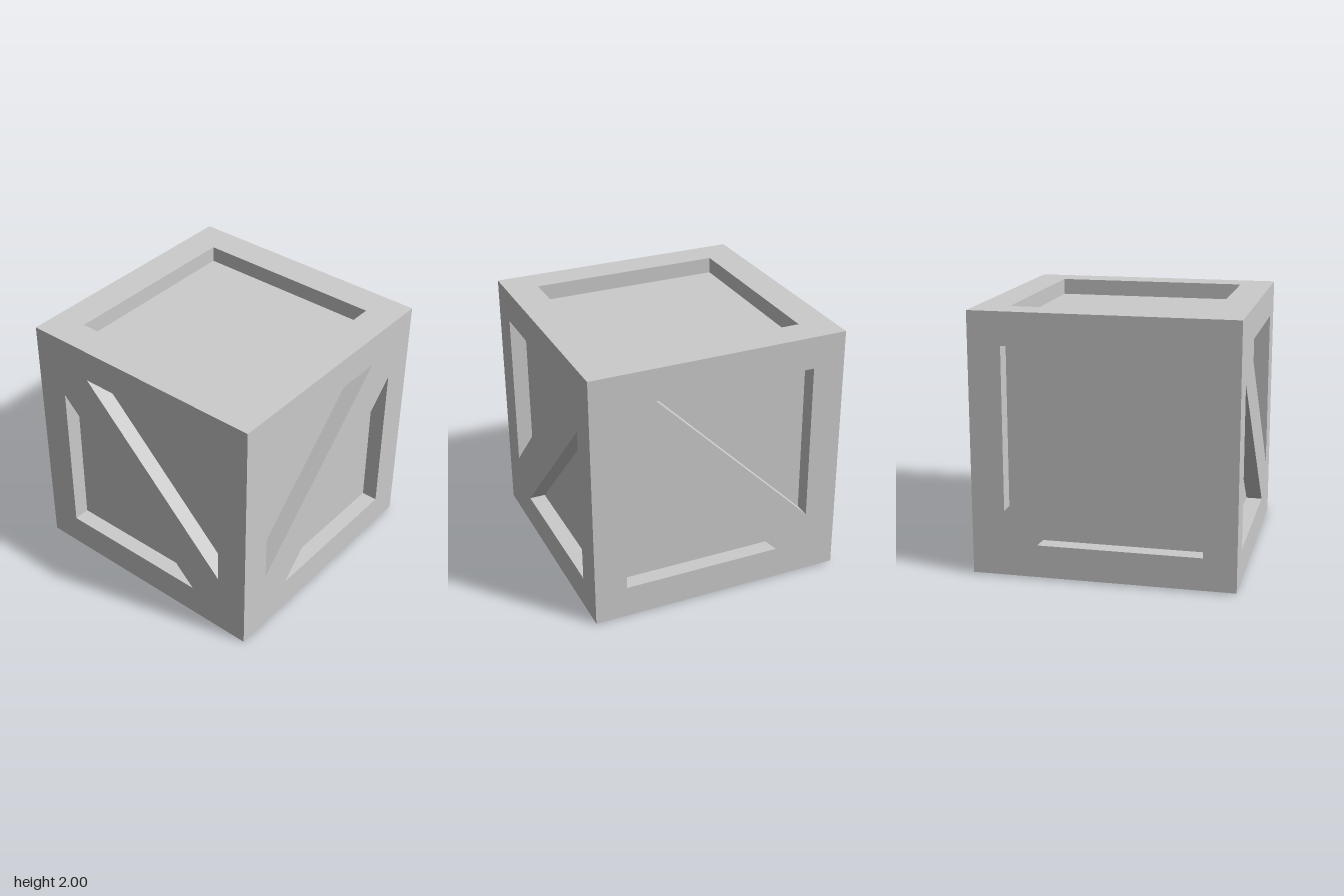
import * as THREE from 'three';

const H = 0.994;      // half the crate's side
const DEPTH = 0.125;  // how far the panels are recessed
const IN = 0.745;     // half the frame opening
const CUT = 0.495;    // where the diagonal brace meets the frame

const path = (Type, pts) => new Type(pts.map(([x, y]) => new THREE.Vector2(x, y)));

// One face frame lying at z = H, mitred at 45 degrees so neighbours meet without overlap
function frameGeometry(holes) {
  const shape = path(THREE.Shape, [[-H, -H], [H, -H], [H, H], [-H, H]]);
  shape.holes = holes.map((pts) => path(THREE.Path, pts));
  const geo = new THREE.ExtrudeGeometry(shape, { depth: DEPTH, bevelEnabled: false });
  geo.translate(0, 0, H - DEPTH);
  const p = geo.attributes.position;
  const mitre = (v) => (Math.abs(v) > H - 1e-4 ? Math.sign(v) * (H - DEPTH) : v);
  for (let i = 0; i < p.count; i++) {
    if (p.getZ(i) < H - DEPTH / 2) p.setXY(i, mitre(p.getX(i)), mitre(p.getY(i)));
  }
  geo.computeVertexNormals();
  return geo;
}

// Two triangular openings leave a diagonal brace; s = -1 mirrors its direction
const bracedHoles = (s) => [
  [[-CUT * s, IN], [IN * s, IN], [IN * s, -CUT]],
  [[-IN * s, CUT], [-IN * s, -IN], [CUT * s, -IN]],
];

export function createModel() {
  const material = new THREE.MeshStandardMaterial({ color: 0xcccccc, flatShading: true });
  const crate = new THREE.Group();
  crate.name = 'crate';

  const add = (name, geo, rx = 0, ry = 0) => {
    const mesh = new THREE.Mesh(geo, material);
    mesh.name = name;
    mesh.rotation.set(rx, ry, 0);
    crate.add(mesh);
  };

  // Recessed panels: the inner box seen through the frame openings
  const inner = 2 * (H - DEPTH);
  add('innerBox', new THREE.BoxGeometry(inner, inner, inner));

  // Four braced sides, the brace direction alternating round the crate
  ['frontFrame', 'leftFrame', 'backFrame', 'rightFrame'].forEach((name, i) => {
    add(name, frameGeometry(bracedHoles(i % 2 ? -1 : 1)), 0, (i * Math.PI) / 2);
  });

  // Open square frames on the top and bottom
  const square = [[[-IN, -IN], [-IN, IN], [IN, IN], [IN, -IN]]];
  add('topFrame', frameGeometry(square), -Math.PI / 2);
  add('bottomFrame', frameGeometry(square), Math.PI / 2);

  // The crate leans very slightly to one side
  crate.rotation.z = -0.006;
  crate.position.y = 1;

  const model = new THREE.Group();
  model.name = 'woodenCrate';
  model.add(crate);
  return model;
}
